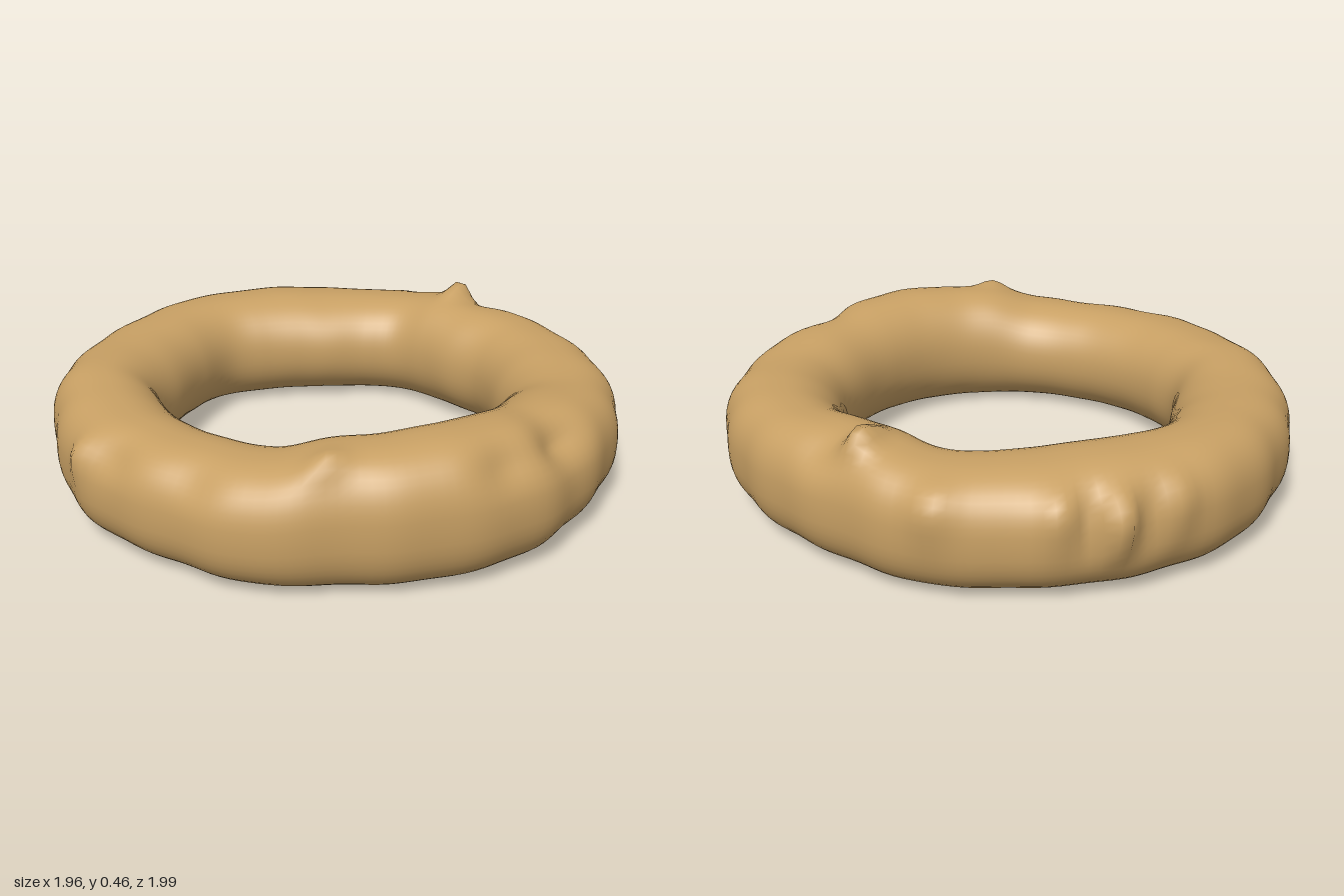
import * as THREE from 'three';

// Ring outline by angle (degrees from +x towards +z): [angle, outer radius, inner radius, top height]
const OUTLINE = [
  [0, 0.98, 0.575, 0.39], [15, 0.975, 0.57, 0.41], [27, 0.98, 0.575, 0.42], [37, 1.0, 0.58, 0.44],
  [53, 1.0, 0.59, 0.45], [66, 0.985, 0.595, 0.44], [78, 0.975, 0.595, 0.43], [90, 1.0, 0.59, 0.39],
  [108, 0.975, 0.585, 0.385], [130, 0.99, 0.58, 0.39], [147, 0.97, 0.585, 0.395], [161, 0.975, 0.605, 0.4],
  [180, 0.98, 0.57, 0.39], [200, 0.98, 0.585, 0.395], [216, 0.995, 0.61, 0.4], [230, 0.99, 0.575, 0.4],
  [241, 0.99, 0.55, 0.4], [254, 0.98, 0.54, 0.39], [270, 0.975, 0.57, 0.385], [279, 0.975, 0.585, 0.39],
  [291, 0.95, 0.565, 0.415], [305, 0.945, 0.55, 0.41], [320, 0.955, 0.575, 0.4], [343, 0.975, 0.566, 0.395],
];

// Lumps and dents: [angle round ring, angle round section (0 outer, 90 top), height, ring width, section width]
const LUMPS = [
  [293, 72, 0.06, 3, 18], [301, 55, -0.025, 5, 28],
  [275, 28, 0.035, 4, 25], [243, 15, 0.065, 2.5, 22], [253, 25, 0.03, 3, 22], [231, 20, 0.025, 3, 25],
  [237, 20, -0.02, 2.5, 25], [248, 20, -0.02, 2, 25],
  [29, 45, -0.06, 8, 28], [45, 40, -0.035, 6, 25],
  [78, 62, 0.035, 4, 16], [130, 25, 0.025, 2.5, 20], [122, 40, -0.02, 5, 22], [102, 45, -0.015, 5, 25],
];

const angleGap = (a, b) => ((a - b + 540) % 360) - 180;

// Periodic cubic interpolation of one outline column
function sample(deg, column) {
  const n = OUTLINE.length;
  let k = n - 1;
  while (OUTLINE[k][0] > deg) k--;
  const at = (i) => OUTLINE[(i + n) % n][column];
  const start = OUTLINE[k][0];
  const end = k + 1 < n ? OUTLINE[k + 1][0] : 360;
  const t = (deg - start) / (end - start);
  const p0 = at(k - 1), p1 = at(k), p2 = at(k + 1), p3 = at(k + 2);
  return p1 + 0.5 * t * (p2 - p0 + t * (2 * p0 - 5 * p1 + 4 * p2 - p3 + t * (3 * (p1 - p2) + p3 - p0)));
}

const soften = (v, power) => Math.sign(v) * Math.abs(v) ** power;

// Closed ring of rounded cross-sections with lumps pushed along the section
function ringGeometry(around = 180, section = 48) {
  const positions = [], indices = [];
  for (let i = 0; i < around; i++) {
    const deg = (i * 360) / around;
    const theta = THREE.MathUtils.degToRad(deg);
    const outer = sample(deg, 1) + 0.004 * Math.sin(theta * 23);
    const inner = sample(deg, 2), top = sample(deg, 3);
    for (let j = 0; j < section; j++) {
      const phiDeg = (j * 360) / section;
      const phi = THREE.MathUtils.degToRad(phiDeg);
      const c = Math.cos(phi), s = Math.sin(phi);
      const power = c > 0 ? 0.82 : 0.95;
      let lump = 0;
      for (const [a, p, height, wa, wp] of LUMPS) {
        lump += height * Math.exp(-((angleGap(deg, a) / wa) ** 2) - (angleGap(phiDeg, p) / wp) ** 2);
      }
      const r = (outer + inner) / 2 + ((outer - inner) / 2) * soften(c, power) + lump * c;
      const y = (top / 2) * (1 + soften(s, power)) + lump * s;
      positions.push(r * Math.cos(theta), Math.max(0, y), r * Math.sin(theta));
      const i2 = (i + 1) % around, j2 = (j + 1) % section;
      const a = i * section + j, b = i * section + j2, d = i2 * section + j, e = i2 * section + j2;
      indices.push(a, b, d, b, e, d);
    }
  }
  const geometry = new THREE.BufferGeometry();
  geometry.setAttribute('position', new THREE.Float32BufferAttribute(positions, 3));
  geometry.setIndex(indices);
  geometry.computeVertexNormals();
  return geometry;
}

export function createModel() {
  const model = new THREE.Group();
  model.name = 'lumpyRing';
  const ring = new THREE.Mesh(ringGeometry(), new THREE.MeshStandardMaterial({ color: 0xc8a064 }));
  ring.name = 'doughRing';
  model.add(ring);
  return model;
}
